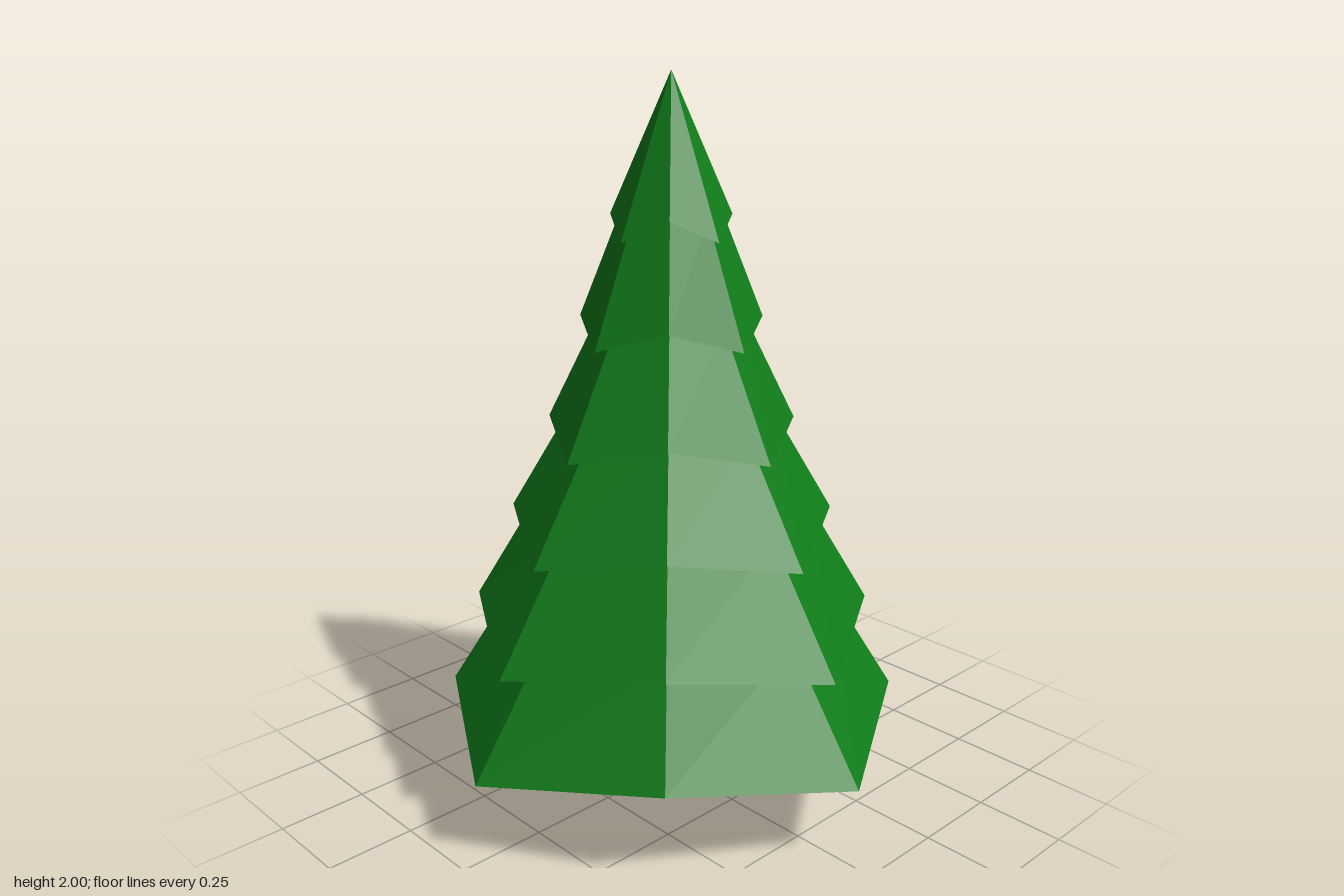
import * as THREE from 'three';

const SIDES = 8;

// One ring of the foliage; droop pulls every second corner in and up, like branch tips
function ring(radius, y, star) {
  const points = [];
  for (let i = 0; i < SIDES; i++) {
    const a = (i / SIDES) * Math.PI * 2;
    const between = star && i % 2 === 1;
    const r = between ? radius * 0.902 : radius;
    points.push([Math.sin(a) * r, between ? y + 0.058 : y, Math.cos(a) * r]);
  }
  return points;
}

// Faceted skin over a stack of rings, running from the bottom up
function loft(rings) {
  const positions = [];
  for (let k = 0; k < rings.length - 1; k++) {
    const low = rings[k], high = rings[k + 1];
    for (let i = 0; i < SIDES; i++) {
      const j = (i + 1) % SIDES;
      positions.push(...low[i], ...low[j], ...high[j]);
      positions.push(...low[i], ...high[j], ...high[i]);
    }
  }
  const geometry = new THREE.BufferGeometry();
  geometry.setAttribute('position', new THREE.Float32BufferAttribute(positions, 3));
  geometry.computeVertexNormals();
  return geometry;
}

export function createModel() {
  const tree = new THREE.Group();
  tree.name = 'tree';
  const green = new THREE.MeshStandardMaterial({ color: 0x107c1a, flatShading: true });

  // Branch tiers: [rim radius, rim height, top radius, top height]
  const tiers = [
    [0.70, 0.23, 0.46, 0.565],
    [0.61, 0.50, 0.385, 0.835],
    [0.49, 0.77, 0.285, 1.095],
    [0.37, 1.03, 0.195, 1.37],
    [0.27, 1.31, 0.135, 1.64],
    [0.177, 1.58, 0, 2.0],
  ];
  const rings = [ring(0, 0.30, false)];
  for (const [rimRadius, rimY, topRadius, topY] of tiers) {
    rings.push(ring(rimRadius, rimY, true), ring(topRadius, topY, false));
  }
  const foliage = new THREE.Mesh(loft(rings), green);
  foliage.name = 'foliage';
  tree.add(foliage);

  // Trunk
  const trunk = new THREE.Mesh(new THREE.CylinderGeometry(0.096, 0.105, 0.3, SIDES), green);
  trunk.name = 'trunk';
  trunk.position.y = 0.15;
  tree.add(trunk);

  return tree;
}
